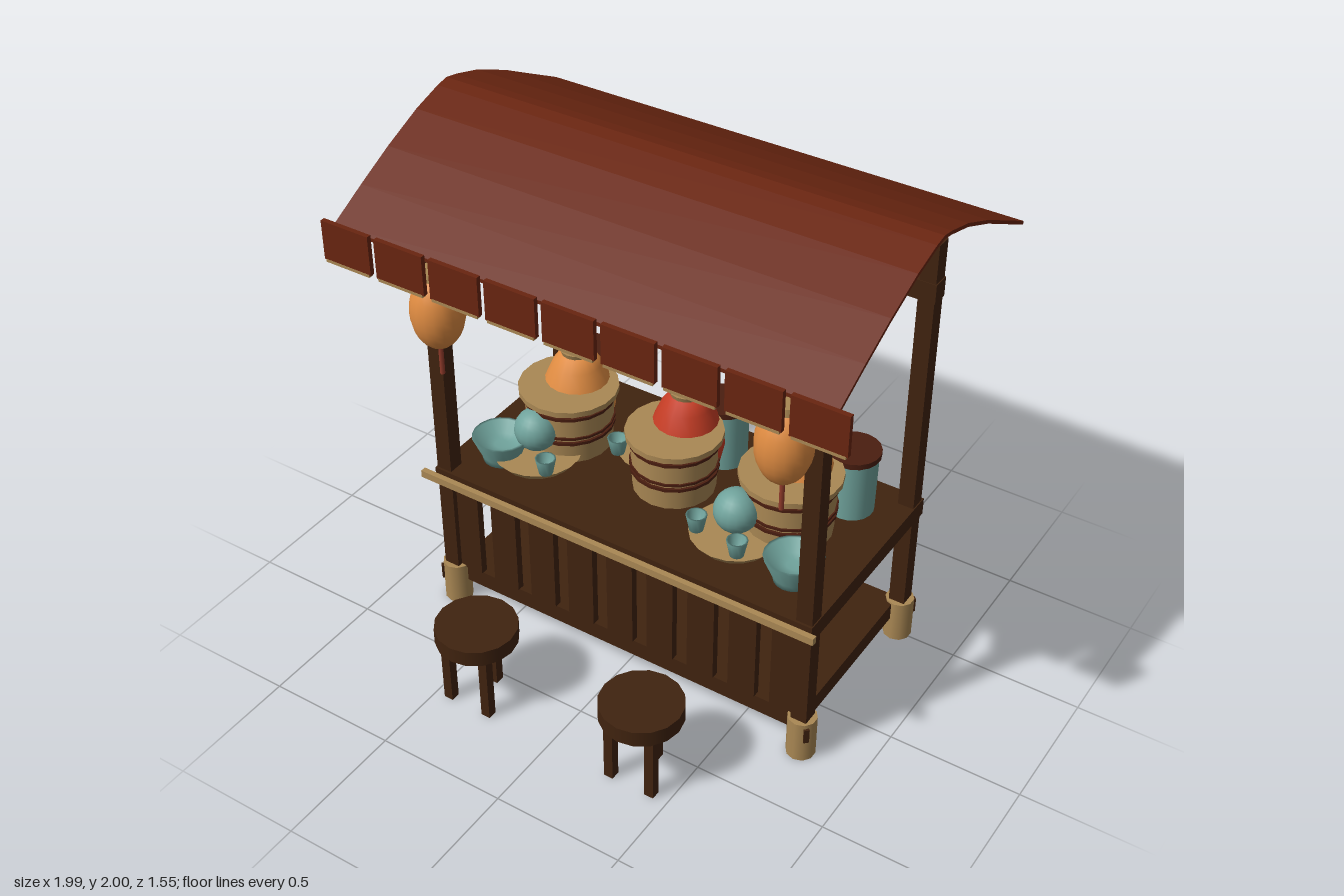
import * as THREE from 'three';

const mat = (name, color) => {
  const m = new THREE.MeshStandardMaterial({ color });
  m.name = name;
  return m;
};

export function createModel() {
  const root = new THREE.Group();
  root.name = 'foodStall';
  const wood = mat('darkWood', 0x40230f), bamboo = mat('bamboo', 0xaa8854);
  const roofRed = mat('roofRed', 0x692510), lidBrown = mat('lidBrown', 0x4a1e10);
  const orange = mat('orangeGlaze', 0xe08c42), red = mat('redGlaze', 0xc43c24);
  const teal = mat('tealCeramic', 0x70a39c), cord = mat('tasselRed', 0x8f3a2a);
  const tealOpen = mat('tealBowl', 0x70a39c);
  tealOpen.side = THREE.DoubleSide;

  const add = (name, geo, m, x, y, z, parent = root) => {
    const mesh = new THREE.Mesh(geo, m);
    mesh.name = name;
    mesh.position.set(x, y, z);
    parent.add(mesh);
    return mesh;
  };
  // Box given by centre x/z and its bottom and top heights
  const box = (name, m, w, d, y0, y1, x, z, p) =>
    add(name, new THREE.BoxGeometry(w, y1 - y0, d), m, x, (y0 + y1) / 2, z, p);
  const cyl = (name, m, rTop, rBot, y0, y1, x, z, p, seg = 18) =>
    add(name, new THREE.CylinderGeometry(rTop, rBot, y1 - y0, seg), m, x, (y0 + y1) / 2, z, p);
  const lathe = (name, m, pts, x, y, z, p, seg = 18) =>
    add(name, new THREE.LatheGeometry(pts.map(a => new THREE.Vector2(...a)), seg), m, x, y, z, p);
  const group = (name, x, y, z) => {
    const g = new THREE.Group();
    g.name = name;
    g.position.set(x, y, z);
    root.add(g);
    return g;
  };

  // Posts on bamboo feet with dark pegs
  for (const sx of [-1, 1]) for (const z of [0.23, -0.505]) {
    const x = sx * 0.76, sz = z > 0 ? 1 : -1;
    box('post', wood, 0.062, 0.062, 0.02, 1.735, x, z);
    cyl('foot', bamboo, 0.054, 0.054, 0, 0.172, x, z, root, 10);
    const peg = box('footPeg', wood, 0.02, 0.02, 0.095, 0.155, x + sx * 0.036, z + sz * 0.036);
    peg.rotation.y = Math.PI / 4;
  }

  // Lower shelf, counter, rear beam and bamboo front rail
  box('lowerShelf', wood, 1.5, 0.74, 0.095, 0.165, 0, -0.137);
  box('counter', wood, 1.59, 0.82, 0.56, 0.63, 0, -0.14);
  box('rearBeam', wood, 1.59, 0.068, 1.51, 1.585, 0, -0.505);
  box('frontRail', bamboo, 1.65, 0.022, 0.603, 0.632, 0, 0.305);

  // Front slats
  for (let i = 0; i < 9; i++) {
    box('frontSlat', wood, 0.11, 0.03, 0.165, 0.54, -0.688 + i * 0.1715, 0.225);
  }

  // Curved roof sheet, extruded sideways from its profile
  const profile = [[0.49, 1.73], [0.34, 1.81], [0.19, 1.885], [0.03, 1.954], [-0.09, 1.991], [-0.14, 2],
    [-0.19, 1.991], [-0.31, 1.957], [-0.47, 1.888], [-0.62, 1.81], [-0.775, 1.73]];
  const outline = profile.concat([...profile].reverse().map(([z, y]) => [z, y - 0.014]));
  const roofGeo = new THREE.ExtrudeGeometry(
    new THREE.Shape(outline.map(p => new THREE.Vector2(...p))), { depth: 1.9, bevelEnabled: false });
  roofGeo.rotateY(-Math.PI / 2);
  add('roof', roofGeo, roofRed, 0.948, 0, 0);

  // Valance flaps with a pale hem
  for (let i = 0; i < 9; i++) {
    const x = -0.893 + i * 0.2238;
    box('valanceFlap', roofRed, 0.198, 0.018, 1.593, 1.742, x, 0.5);
    box('valanceHem', bamboo, 0.185, 0.02, 1.584, 1.595, x, 0.5);
  }

  // Hanging lanterns
  for (const x of [-0.688, 0.678]) {
    const g = group('lantern', x, 0, 0.31);
    const body = add('lanternBody', new THREE.SphereGeometry(0.098, 18, 14), orange, 0, 1.388, 0, g);
    body.scale.y = 1.53;
    cyl('lanternCap', bamboo, 0.05, 0.055, 1.525, 1.552, 0, 0, g, 14);
    cyl('lanternTassel', cord, 0.009, 0.009, 1.122, 1.245, 0, 0, g, 8);
  }

  // Three-legged stools
  for (const x of [-0.358, 0.346]) {
    const g = group('stool', x, 0, 0.622);
    cyl('stoolSeat', wood, 0.152, 0.152, 0.28, 0.343, 0, 0, g, 16);
    for (const [lx, lz] of [[-0.084, 0.068], [0.084, 0.068], [0, -0.09]]) {
      box('stoolLeg', wood, 0.036, 0.036, 0, 0.285, lx, lz, g);
    }
  }

  // Steamer baskets, each with a rounded pot rising behind and through it
  for (const [x, m, r, z] of [[-0.475, orange, 0.175, -0.14], [0, red, 0.168, -0.12], [0.468, orange, 0.175, -0.14]]) {
    const g = group('steamer', x, 0, z);
    cyl('steamerBase', bamboo, r - 0.01, r - 0.015, 0.645, 0.73, 0, 0, g);
    cyl('steamerBand', lidBrown, r - 0.004, r - 0.004, 0.728, 0.74, 0, 0, g);
    cyl('steamerGap', bamboo, r - 0.014, r - 0.014, 0.74, 0.755, 0, 0, g);
    cyl('steamerBand', lidBrown, r - 0.004, r - 0.004, 0.752, 0.762, 0, 0, g);
    cyl('steamerTop', bamboo, r - 0.01, r - 0.01, 0.76, 0.84, 0, 0, g);
    cyl('steamerBand', lidBrown, r - 0.002, r - 0.002, 0.838, 0.85, 0, 0, g);
    cyl('steamerLid', bamboo, r + 0.012, r + 0.012, 0.868, 0.89, 0, 0, g);
    lathe('pot', m, [[0, 0.632], [0.08, 0.632], [0.125, 0.7], [0.142, 0.78], [0.138, 0.84], [0.12, 0.89],
      [0.092, 0.955], [0.062, 1], [0, 1]], 0, 0, -0.196 - z, g);
    cyl('potCap', bamboo, 0.063, 0.056, 0.995, 1.018, 0, -0.196 - z, g, 14);
  }

  // Lidded canisters along the back
  for (const x of [-0.56, 0.06, 0.592]) {
    const g = group('canister', x, 0, -0.37);
    cyl('canisterBody', teal, 0.09, 0.086, 0.63, 0.872, 0, 0, g);
    cyl('canisterLid', lidBrown, 0.098, 0.098, 0.868, 0.89, 0, 0, g);
  }

  // Serving plates with a round jar and small cups
  const sets = [
    [-0.51, 0.02, [[0.11, 0.1]]],
    [0.346, 0.02, [[-0.12, 0.07], [0.07, 0.11]]],
    [-0.135, -0.245, [[-0.115, 0.12]]],
  ];
  for (const [x, z, cups] of sets) {
    const g = group('servingSet', x, 0, z);
    cyl('plateFoot', lidBrown, 0.1, 0.1, 0.63, 0.646, 0, 0, g);
    cyl('plate', bamboo, 0.168, 0.14, 0.642, 0.676, 0, 0, g);
    add('roundJar', new THREE.SphereGeometry(0.083, 18, 14), teal, 0, 0.768, 0, g);
    for (const [cx, cz] of cups) {
      lathe('cup', tealOpen, [[0, 0.677], [0.026, 0.677], [0.039, 0.742], [0.032, 0.742], [0.022, 0.688], [0, 0.688]],
        cx, 0, cz, g, 12);
    }
  }

  // Open bowls at the front corners
  for (const x of [-0.622, 0.618]) {
    lathe('bowl', tealOpen, [[0, 0.635], [0.07, 0.635], [0.075, 0.66], [0.108, 0.738], [0.096, 0.738],
      [0.06, 0.7], [0.025, 0.695], [0, 0.695]], x, 0, 0.09, root);
  }

  return root;
}
